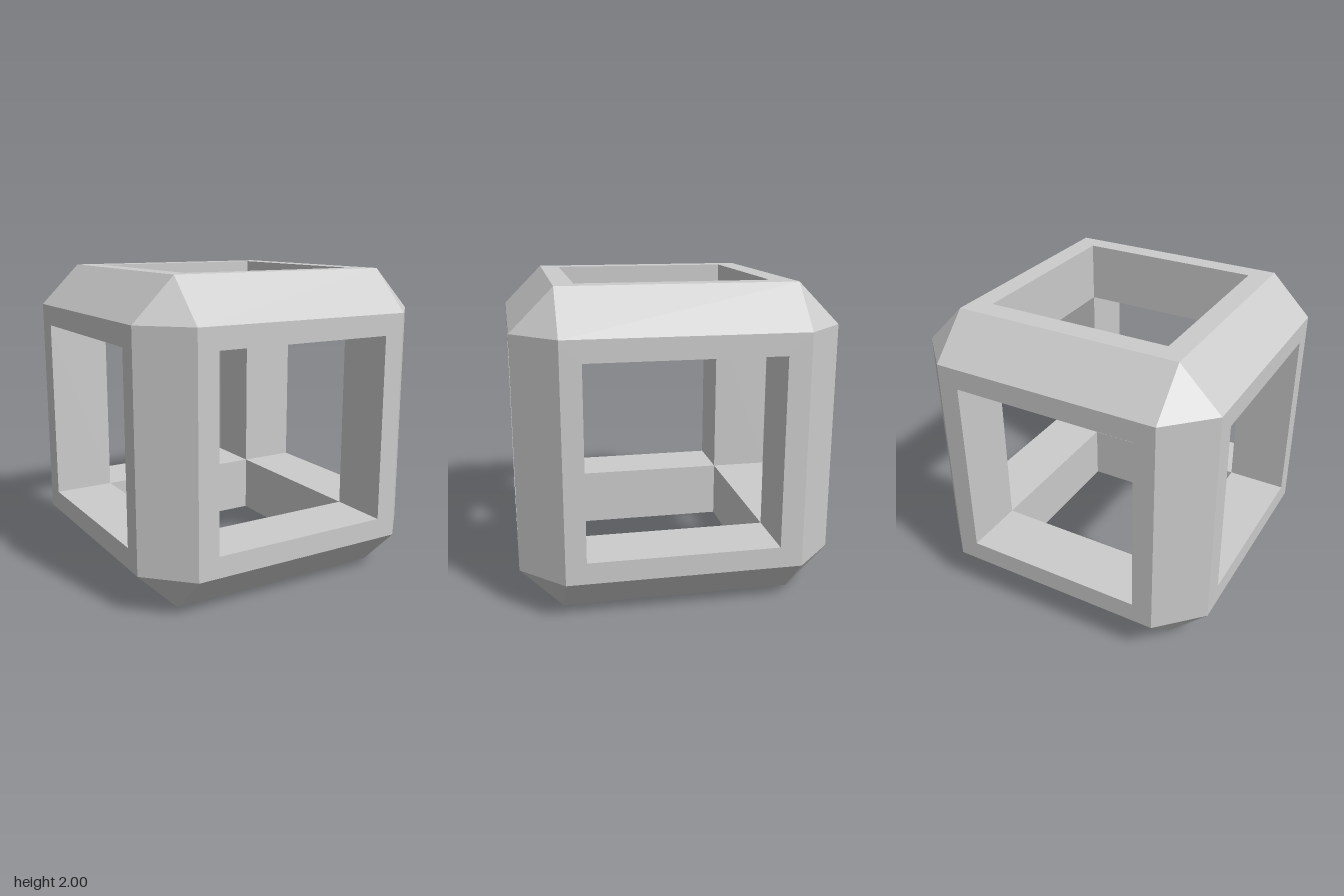
import * as THREE from 'three';

const HOLE = 0.6;      // half width of the square windows, also the inner cavity
const BEVEL = 0.735;   // where the outer bevels begin
const SHIFT = 0.008;   // the windows sit slightly forward

// Bar cross-section: [u, v, half length of the bar at this point]
const PROFILE = [
  [HOLE, HOLE, HOLE], [HOLE, 1, HOLE], [BEVEL, 1, BEVEL],
  [1, BEVEL, BEVEL], [1, HOLE, HOLE],
];

function flatMesh(points, name, material) {
  const geometry = new THREE.BufferGeometry();
  geometry.setAttribute('position', new THREE.Float32BufferAttribute(points.flat(), 3));
  geometry.computeVertexNormals();
  const mesh = new THREE.Mesh(geometry, material);
  mesh.name = name;
  return mesh;
}

// Bevelled bar along one axis, mitred into its neighbours
function createBar(axis, su, sv, material) {
  const place = (i, end) => {
    const [u, v, half] = PROFILE[i % PROFILE.length];
    const p = [0, 0, 0];
    p[axis] = end * half;
    p[(axis + 1) % 3] = su * u;
    p[(axis + 2) % 3] = sv * v;
    if (Math.abs(p[2]) === HOLE) p[2] += SHIFT;
    return p;
  };
  const points = [];
  for (let i = 0; i < PROFILE.length; i++) {
    const a = place(i, -1), b = place(i + 1, -1), c = place(i + 1, 1), d = place(i, 1);
    if (su * sv > 0) points.push(a, d, c, a, c, b);
    else points.push(a, b, c, a, c, d);
  }
  return flatMesh(points, 'bar' + 'XYZ'[axis], material);
}

// Triangular facet closing a corner
function createCorner(sx, sy, sz, material) {
  const a = [sx, sy * BEVEL, sz * BEVEL];
  const b = [sx * BEVEL, sy, sz * BEVEL];
  const c = [sx * BEVEL, sy * BEVEL, sz];
  return flatMesh(sx * sy * sz > 0 ? [a, b, c] : [a, c, b], 'cornerFacet', material);
}

export function createModel() {
  const model = new THREE.Group();
  model.name = 'bevelledCubeFrame';
  const material = new THREE.MeshStandardMaterial({ color: 0xcccccc, flatShading: true });

  const frame = new THREE.Group();
  frame.name = 'frame';
  frame.position.y = 1;
  model.add(frame);

  for (const s of [-1, 1]) {
    for (const t of [-1, 1]) {
      for (let axis = 0; axis < 3; axis++) frame.add(createBar(axis, s, t, material));
      for (const r of [-1, 1]) frame.add(createCorner(s, t, r, material));
    }
  }
  return model;
}
